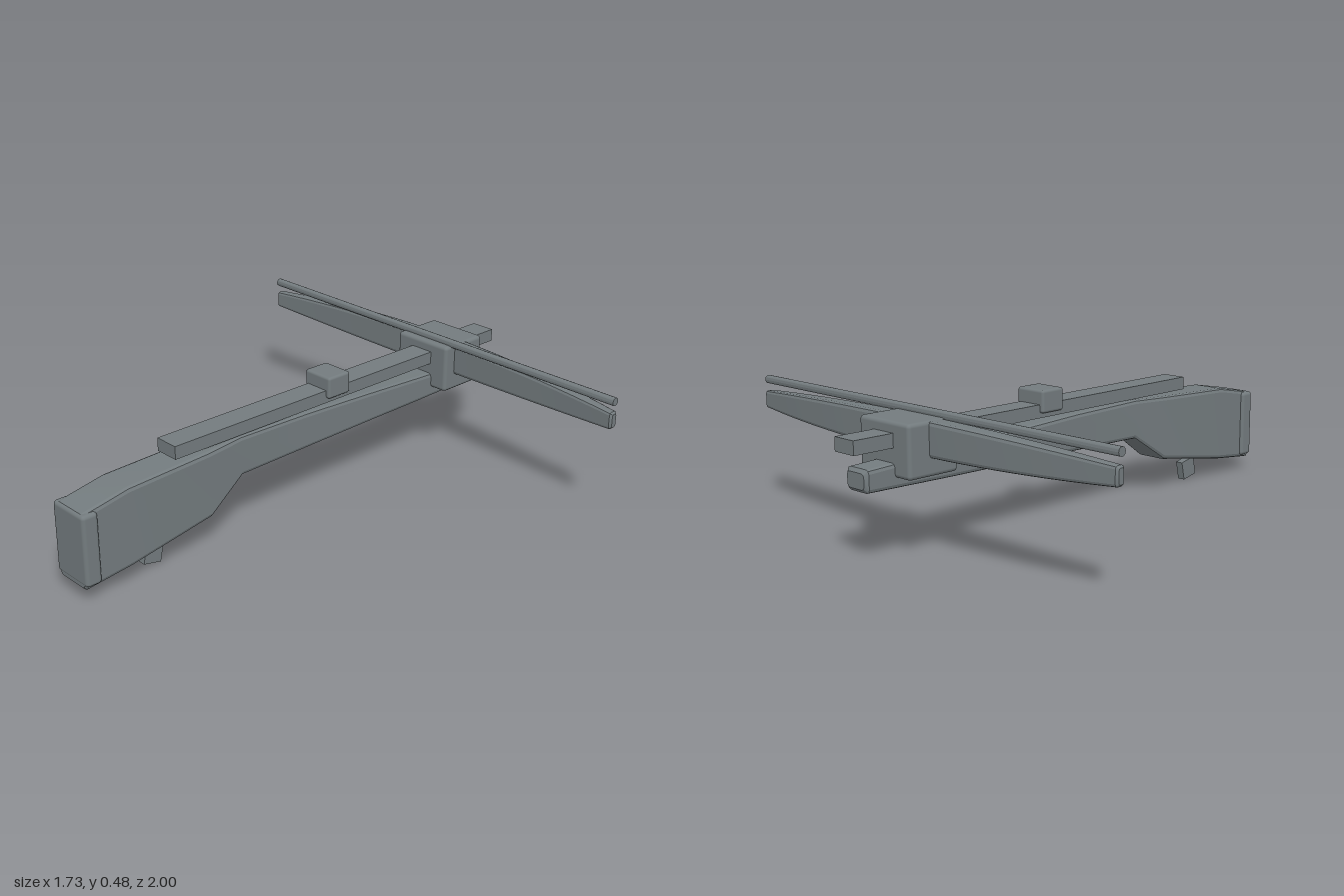
import * as THREE from 'three';
import { toCreasedNormals } from 'three/addons/utils/BufferGeometryUtils.js';
import { RoundedBoxGeometry } from 'three/addons/geometries/RoundedBoxGeometry.js';

// Rounded rectangle outline, counter-clockwise, 3 points per corner
function outline(halfW, halfH, r) {
  const pts = [];
  for (let c = 0; c < 4; c++) {
    const sx = c === 0 || c === 3 ? 1 : -1;
    const sy = c < 2 ? 1 : -1;
    for (let k = 0; k < 3; k++) {
      const a = (c + k / 2) * Math.PI / 2;
      pts.push([sx * (halfW - r) + r * Math.cos(a), sy * (halfH - r) + r * Math.sin(a)]);
    }
  }
  return pts;
}

// Solid along +z through sections { z, x, y, w, h, r } (centre, half sizes, corner radius)
function loft(sections) {
  const pos = [], idx = [], n = 12;
  for (const s of sections) {
    for (const [px, py] of outline(s.w, s.h, s.r)) pos.push(s.x + px, s.y + py, s.z);
  }
  for (let i = 0; i < sections.length - 1; i++) {
    for (let j = 0; j < n; j++) {
      const a = i * n + j, b = i * n + (j + 1) % n;
      idx.push(a, b, b + n, a, b + n, a + n);
    }
  }
  const last = (sections.length - 1) * n;
  for (let j = 1; j < n - 1; j++) {
    idx.push(0, j + 1, j);
    idx.push(last, last + j, last + j + 1);
  }
  const geo = new THREE.BufferGeometry();
  geo.setAttribute('position', new THREE.Float32BufferAttribute(pos, 3));
  geo.setIndex(idx);
  return toCreasedNormals(geo, 0.3);
}

export function createModel() {
  const group = new THREE.Group();
  const grey = new THREE.MeshStandardMaterial({ color: 0x737b7e });
  grey.name = 'gunmetal grey';

  const add = (name, geo, x = 0, y = 0, z = 0) => {
    const mesh = new THREE.Mesh(geo, grey);
    mesh.name = name;
    mesh.position.set(x, y, z);
    group.add(mesh);
    return mesh;
  };

  // Stock: [z, bottom, top, half width, corner radius]
  const stock = [
    [-0.96, 0.262, 0.315, 0.042, 0.012],
    [-0.948, 0.25, 0.327, 0.053, 0.014],
    [-0.6, 0.243, 0.342, 0.053, 0.014],
    [-0.3, 0.239, 0.357, 0.053, 0.014],
    [0, 0.234, 0.37, 0.053, 0.014],
    [0.315, 0.228, 0.376, 0.053, 0.014],
    [0.468, 0.126, 0.372, 0.069, 0.015],
    [0.81, 0.071, 0.359, 0.074, 0.015],
    [0.99, 0.051, 0.325, 0.074, 0.015],
    [0.998, 0.058, 0.317, 0.067, 0.012],
  ];
  add('stock', loft(stock.map(([z, lo, hi, w, r]) => ({
    z, x: 0, y: (lo + hi) / 2, w, h: (hi - lo) / 2, r,
  }))));
  add('buttPlate', new RoundedBoxGeometry(0.17, 0.26, 0.062, 2, 0.014), 0, 0.195, 0.969);

  // Top rail and the latch block riding on it
  add('rail', new THREE.BoxGeometry(0.095, 0.048, 1.6), 0, 0.405, -0.2);
  add('latchBlock', new RoundedBoxGeometry(0.126, 0.082, 0.105, 2, 0.01), 0, 0.439, -0.138);

  // Bow mount
  add('bowMount', new RoundedBoxGeometry(0.248, 0.182, 0.204, 2, 0.014), 0, 0.375, -0.742);

  // Bow: one lofted piece along x, curving back towards the tips
  const bow = [];
  const halfSpan = 0.865, steps = 20;
  for (let i = 0; i <= steps; i++) {
    const t = (i / steps) * 2 - 1;
    const s = t * t;
    bow.push({
      z: t * (halfSpan - 0.008),
      x: 0.726 - 0.043 * s, // becomes -z after turning
      y: 0.404 - 0.004 * s,
      w: 0.036 - 0.018 * s,
      h: 0.061 - 0.029 * s,
      r: 0.014 - 0.004 * s,
    });
  }
  // Bevelled tips
  const tip = { ...bow[0], w: 0.011, h: 0.025, r: 0.007 };
  bow.unshift({ ...tip, z: -halfSpan });
  bow.push({ ...tip, z: halfSpan });
  add('bow', loft(bow)).rotation.y = Math.PI / 2;

  // String
  const stringGeo = toCreasedNormals(new THREE.CylinderGeometry(0.0155, 0.0155, 1.73, 12), 0.7);
  add('bowString', stringGeo, 0, 0.472, -0.681).rotation.z = Math.PI / 2;

  // Trigger
  add('trigger', new THREE.BoxGeometry(0.03, 0.072, 0.072), 0, 0.046, 0.683).rotation.x = -0.21;

  return group;
}
